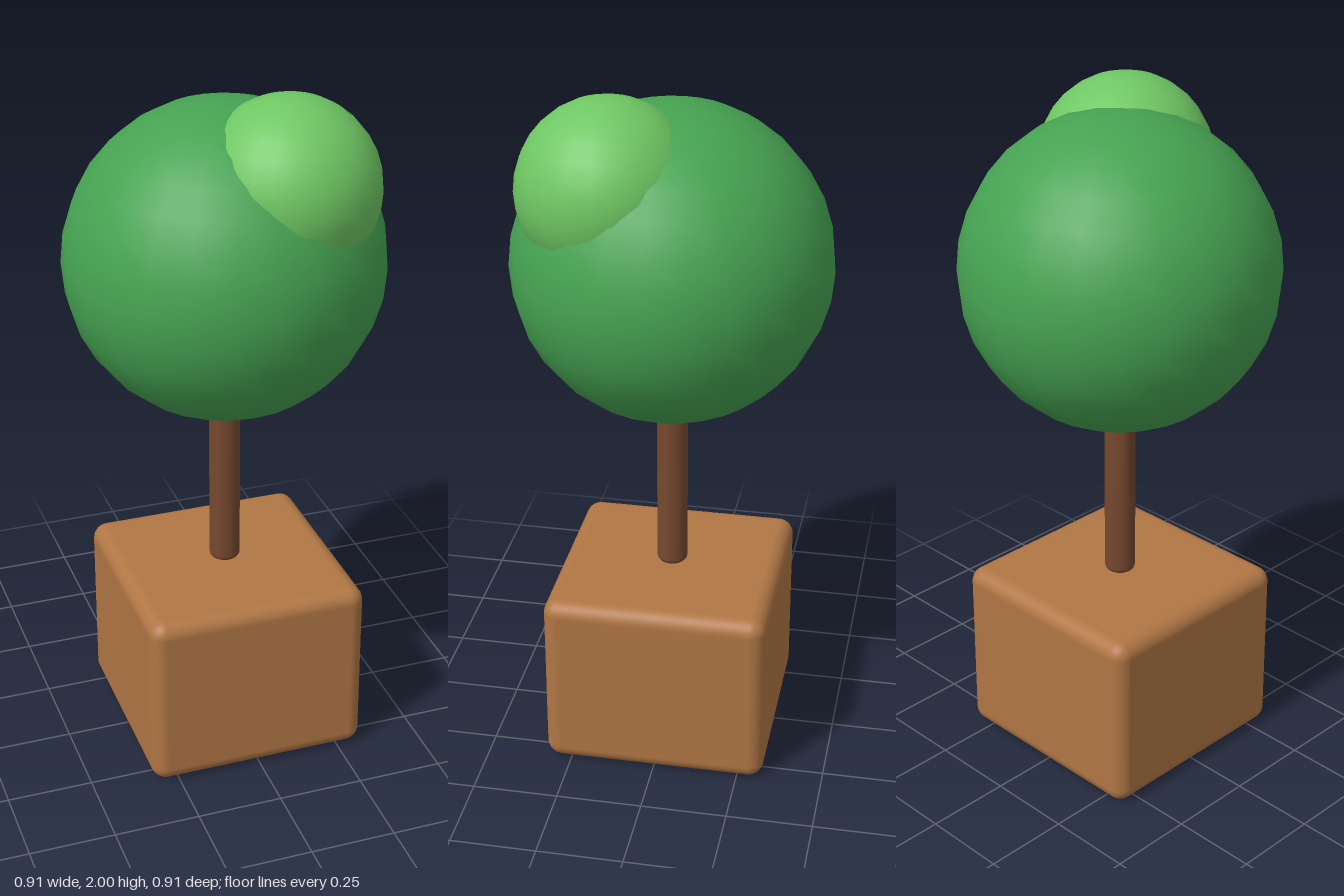
import * as THREE from 'three';
import { RoundedBoxGeometry } from 'three/addons/geometries/RoundedBoxGeometry.js';

export function createModel() {
  const model = new THREE.Group();
  model.name = 'pottedTree';

  const add = (name, geometry, color, x, y, z) => {
    const mesh = new THREE.Mesh(geometry, new THREE.MeshStandardMaterial({ color }));
    mesh.name = name;
    mesh.position.set(x, y, z);
    model.add(mesh);
  };

  // Square planter with softened edges
  add('planter', new RoundedBoxGeometry(0.652, 0.54, 0.652, 4, 0.045), 0xb07644, 0, 0.27, 0);

  // Slim round trunk with rounded ends, its top buried in the foliage
  const radius = 0.045, height = 0.55, bevel = 0.018;
  const profile = [new THREE.Vector2(0, 0)];
  for (const [centreY, start] of [[bevel, -Math.PI / 2], [height - bevel, 0]]) {
    for (let i = 0; i <= 4; i++) {
      const a = start + (i / 4) * Math.PI / 2;
      profile.push(new THREE.Vector2(radius - bevel + bevel * Math.cos(a), centreY + bevel * Math.sin(a)));
    }
  }
  profile.push(new THREE.Vector2(0, height));
  add('trunk', new THREE.LatheGeometry(profile, 24), 0x75482f, 0, 0.54, 0);

  // Round crown and the lighter tuft growing out of its upper front
  add('crown', new THREE.SphereGeometry(0.453, 24, 16), 0x46a352, 0, 1.5, 0);
  add('lightTuft', new THREE.SphereGeometry(0.252, 24, 16), 0x6fc763, 0.13, 1.748, 0.152);

  return model;
}
